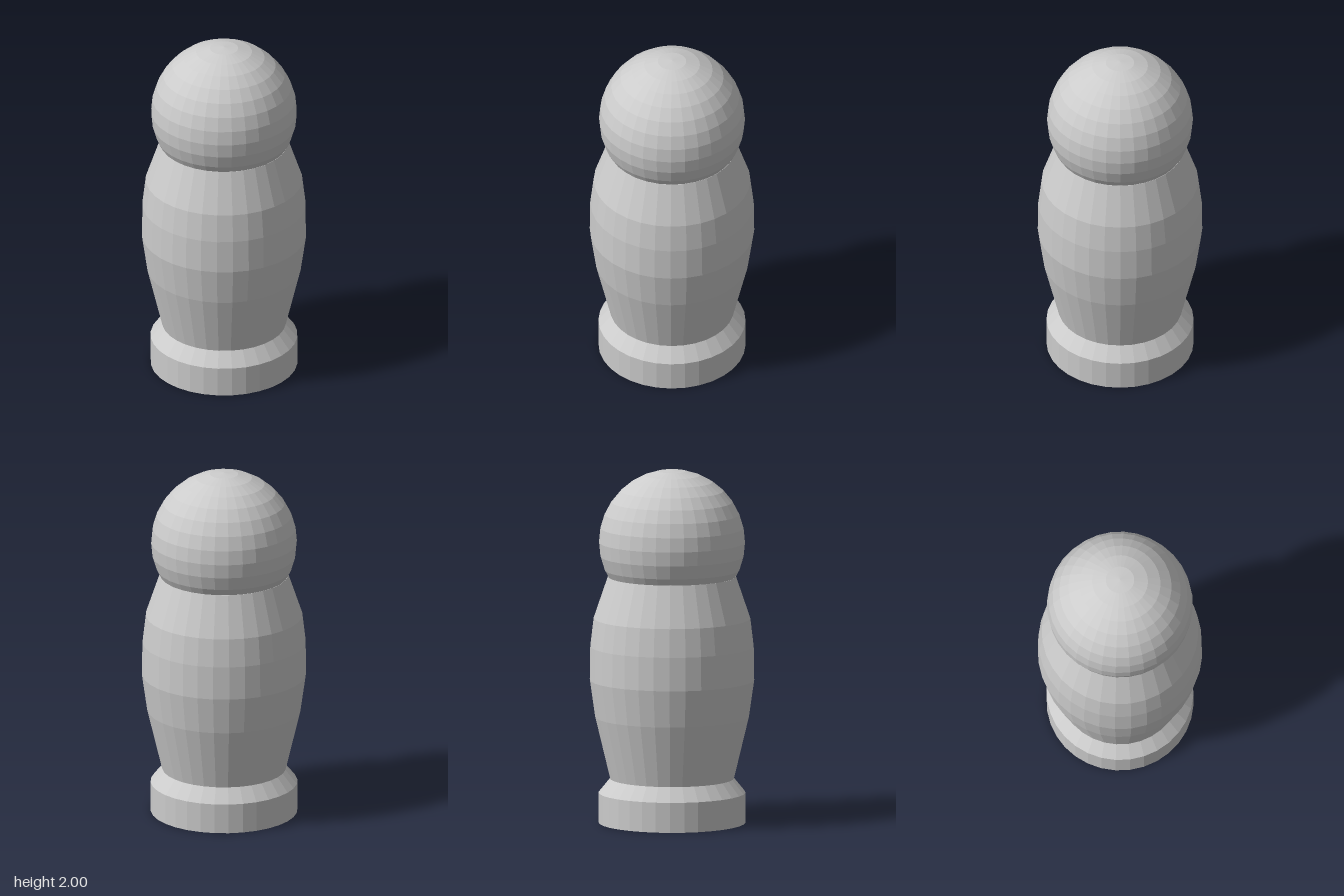
import * as THREE from 'three';

const SIDES = 32;

export function createModel() {
  const group = new THREE.Group();
  const material = new THREE.MeshStandardMaterial({ color: 0xcccccc, flatShading: true });

  const add = (name, geometry, y = 0) => {
    const mesh = new THREE.Mesh(geometry, material);
    mesh.name = name;
    mesh.position.y = y;
    group.add(mesh);
  };
  // Turned part from [radius, height] pairs, bottom to top
  const turned = (profile) =>
    new THREE.LatheGeometry(profile.map(([r, y]) => new THREE.Vector2(r, y)), SIDES);

  // Round foot with a sloped upper rim
  add('base', turned([[0, 0], [0.413, 0], [0.413, 0.17], [0.348, 0.25], [0, 0.25]]));

  // Bulging barrel body
  add('body', turned([
    [0, 0.25], [0.348, 0.25], [0.432, 0.6], [0.462, 0.81],
    [0.459, 1.0], [0.44, 1.16], [0.36, 1.395], [0, 1.395],
  ]));

  // Ball head, sunk into the top of the body
  add('head', new THREE.SphereGeometry(0.41, SIDES, 16), 1.59);

  return group;
}
